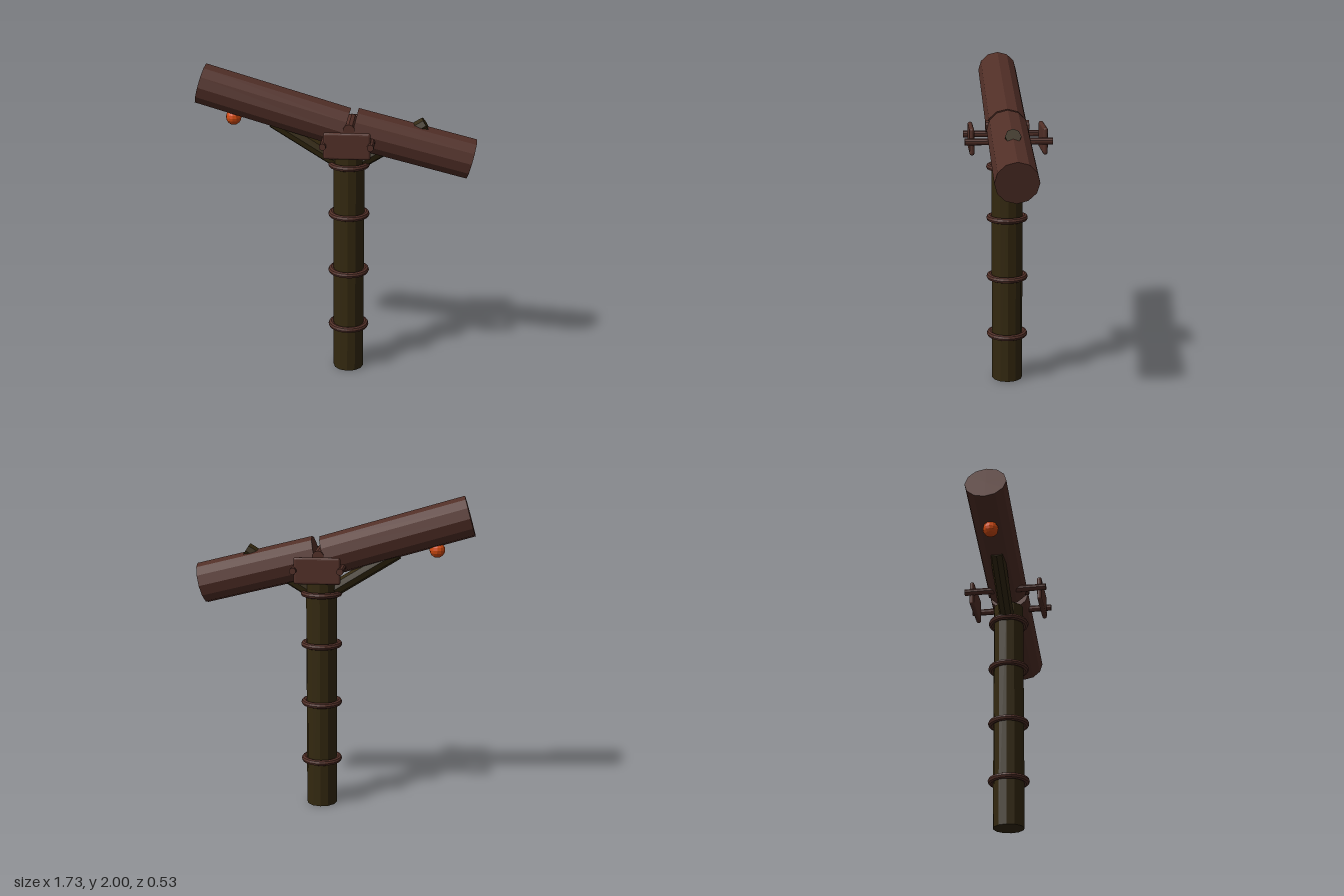
import * as THREE from 'three';
import { RoundedBoxGeometry } from 'three/addons/geometries/RoundedBoxGeometry.js';

export function createModel() {
  const model = new THREE.Group();
  const material = (name, color) => {
    const m = new THREE.MeshStandardMaterial({ color, flatShading: true });
    m.name = name;
    return m;
  };
  const brown = material('brownWood', 0x512f27);
  const olive = material('darkOliveWood', 0x33280f);
  const orange = material('orange', 0xd04a10);

  const add = (name, geometry, mat, x = 0, y = 0, z = 0) => {
    const mesh = new THREE.Mesh(geometry, mat);
    mesh.name = name;
    mesh.position.set(x, y, z);
    model.add(mesh);
    return mesh;
  };

  // Straight cylinder between two points
  const beam = (name, a, b, radius, sides, mat) => {
    const from = new THREE.Vector3(...a), to = new THREE.Vector3(...b);
    const dir = to.clone().sub(from);
    const mesh = add(name, new THREE.CylinderGeometry(radius, radius, dir.length(), sides), mat);
    mesh.position.copy(from).add(to).multiplyScalar(0.5);
    mesh.quaternion.setFromUnitVectors(new THREE.Vector3(0, 1, 0), dir.normalize());
    return mesh;
  };

  // Upright post with its rings
  const postX = 0.078;
  beam('post', [postX, 0, 0], [postX, 1.5, 0], 0.097, 12, olive);
  for (const y of [0.3, 0.68, 1.06, 1.385]) {
    const ring = add('postRing', new THREE.TorusGeometry(0.111, 0.019, 8, 24), brown, postX, y, 0);
    ring.rotation.x = Math.PI / 2;
  }

  // Two slanted logs meeting above the post
  beam('longLog', [-0.833, 1.878, 0], [0.053, 1.618, 0], 0.128, 12, brown);
  beam('shortLog', [0.105, 1.618, 0], [0.83, 1.437, 0], 0.128, 12, brown);
  beam('hingePin', [0.085, 1.635, -0.133], [0.085, 1.635, 0.133], 0.036, 10, brown);

  // Mirrored braces; one pokes out through the short log
  for (const s of [-1, 1]) {
    beam('brace', [postX, 1.36, 0], [postX + s * 0.469, 1.651, 0], 0.047, 8, olive);
  }

  // Side plates carried on two crossing rods
  for (const s of [-1, 1]) {
    add('sidePlate', new RoundedBoxGeometry(0.285, 0.165, 0.03, 2, 0.014), brown, 0.08, 1.562, s * 0.222);
    const x = 0.08 + s * 0.143;
    beam('crossRod', [x, 1.565, -0.266], [x, 1.565, 0.266], 0.021, 10, brown);
  }

  // Hanging ball under the long log
  add('ball', new THREE.SphereGeometry(0.048, 12, 8), orange, -0.638, 1.668, 0);

  return model;
}
